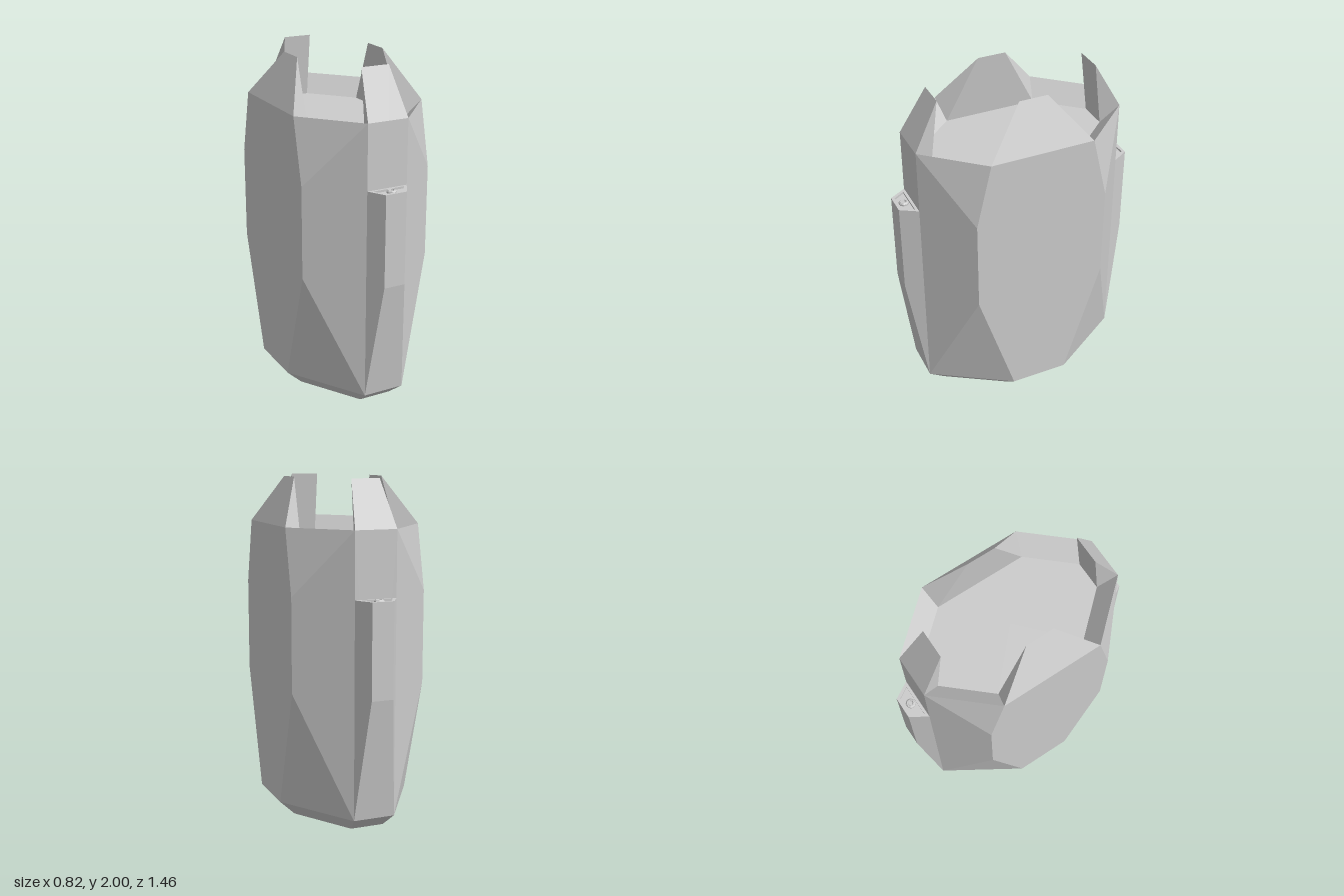
import * as THREE from 'three';

const material = new THREE.MeshStandardMaterial({ color: 0xcccccc, flatShading: true });

// Builds a faceted mesh from polygons of one quadrant (+x, +z), mirrored to all four
function quadMesh(name, polygons) {
  const pos = [];
  for (const sx of [1, -1]) for (const sz of [1, -1]) {
    for (const poly of polygons) {
      for (let i = 1; i < poly.length - 1; i++) {
        const tri = [poly[0], poly[i], poly[i + 1]];
        if (sx * sz < 0) tri.reverse();
        for (const [x, y, z] of tri) pos.push(x * sx, y, z * sz);
      }
    }
  }
  const geo = new THREE.BufferGeometry();
  geo.setAttribute('position', new THREE.Float32BufferAttribute(pos, 3));
  geo.computeVertexNormals();
  const mesh = new THREE.Mesh(geo, material);
  mesh.name = name;
  return mesh;
}

export function createModel() {
  const group = new THREE.Group();
  const base = 0.085, rim = 1.73, floor = 1.62, barTop = 1.35;

  // Key corners of the shell
  const frontLow = [0.125, base, 0.63], frontHigh = [0.125, rim, 0.63];
  const side0 = [0.41, base, 0.175], side1 = [0.41, 0.8, 0.4];
  const side2 = [0.41, barTop, 0.4], side3 = [0.41, rim, 0.31];
  const footFront = [0.1, 0, 0.53], footSide = [0.32, 0, 0.175];
  const innerFront = [0.085, floor, 0.527], innerSide = [0.305, floor, 0.28];
  const tipFront = [0.085, 2, 0.48], tipSide = [0.275, 2, 0.085];
  const midX = ([, y, z]) => [0, y, z];
  const midZ = ([x, y]) => [x, y, 0];

  group.add(quadMesh('bodyShell', [
    [midX(frontLow), frontLow, frontHigh, midX(frontHigh)],
    [frontLow, side0, side1],
    [frontLow, side1, side2, frontHigh],
    [side2, side3, frontHigh],
    [side0, midZ(side0), midZ(side3), side3, side2, side1],
  ]));

  group.add(quadMesh('chamferedBase', [
    [[0, 0, 0], midZ(footSide), footSide, footFront, midX(footFront)],
    [midX(footFront), footFront, frontLow, midX(frontLow)],
    [footFront, footSide, side0, frontLow],
    [footSide, midZ(footSide), midZ(side0), side0],
  ]));

  // Sloped rim and sunken floor between the fins
  group.add(quadMesh('topRecess', [
    [frontHigh, side3, innerSide, innerFront],
    [[0, floor, 0], midX(innerFront), innerFront, innerSide, midZ(innerSide)],
  ]));

  group.add(quadMesh('frontAndBackFins', [
    [midX(frontHigh), frontHigh, tipFront, midX(tipFront)],
    [midX(innerFront), midX(tipFront), tipFront, innerFront],
    [frontHigh, innerFront, tipFront],
  ]));

  group.add(quadMesh('sideFins', [
    [side3, midZ(side3), midZ(tipSide), tipSide],
    [midZ(innerSide), innerSide, tipSide, midZ(tipSide)],
    [side3, tipSide, innerSide],
  ]));

  // Raised bars on front and back, with a shallow tray in the top end
  const barLow = [0.065, 0.8, 0.73], barHigh = [0.065, barTop, 0.73];
  const barPolys = [
    [midX(barLow), barLow, barHigh, midX(barHigh)],
    [midX(frontLow), frontLow, barLow, midX(barLow)],
    [frontLow, [0.125, barTop, 0.63], barHigh, barLow],
  ];
  const outer = [[0, 0.73], [0.065, 0.73], [0.125, 0.63], [0, 0.63]];
  const inner = [[0, 0.712], [0.055, 0.712], [0.097, 0.645], [0, 0.645]];
  const at = ([x, z], y) => [x, y, z];
  const trayY = barTop - 0.012;
  for (let i = 0; i < 3; i++) {
    barPolys.push([at(outer[i], barTop), at(outer[i + 1], barTop), at(inner[i + 1], barTop), at(inner[i], barTop)]);
    barPolys.push([at(inner[i], barTop), at(inner[i + 1], barTop), at(inner[i + 1], trayY), at(inner[i], trayY)]);
  }
  barPolys.push(inner.map((p) => at(p, trayY)));
  group.add(quadMesh('frontAndBackBars', barPolys));

  // Small hollow stud in each tray
  const profile = [[0.029, trayY], [0.029, 1.348], [0.022, 1.355], [0.016, 1.355], [0.012, 1.345], [0, 1.345]]
    .map(([r, y]) => new THREE.Vector2(r, y));
  for (const s of [1, -1]) {
    const stud = new THREE.Mesh(new THREE.LatheGeometry(profile, 8, Math.PI / 8), material);
    stud.name = s > 0 ? 'frontStud' : 'backStud';
    stud.position.z = 0.677 * s;
    group.add(stud);
  }
  return group;
}
